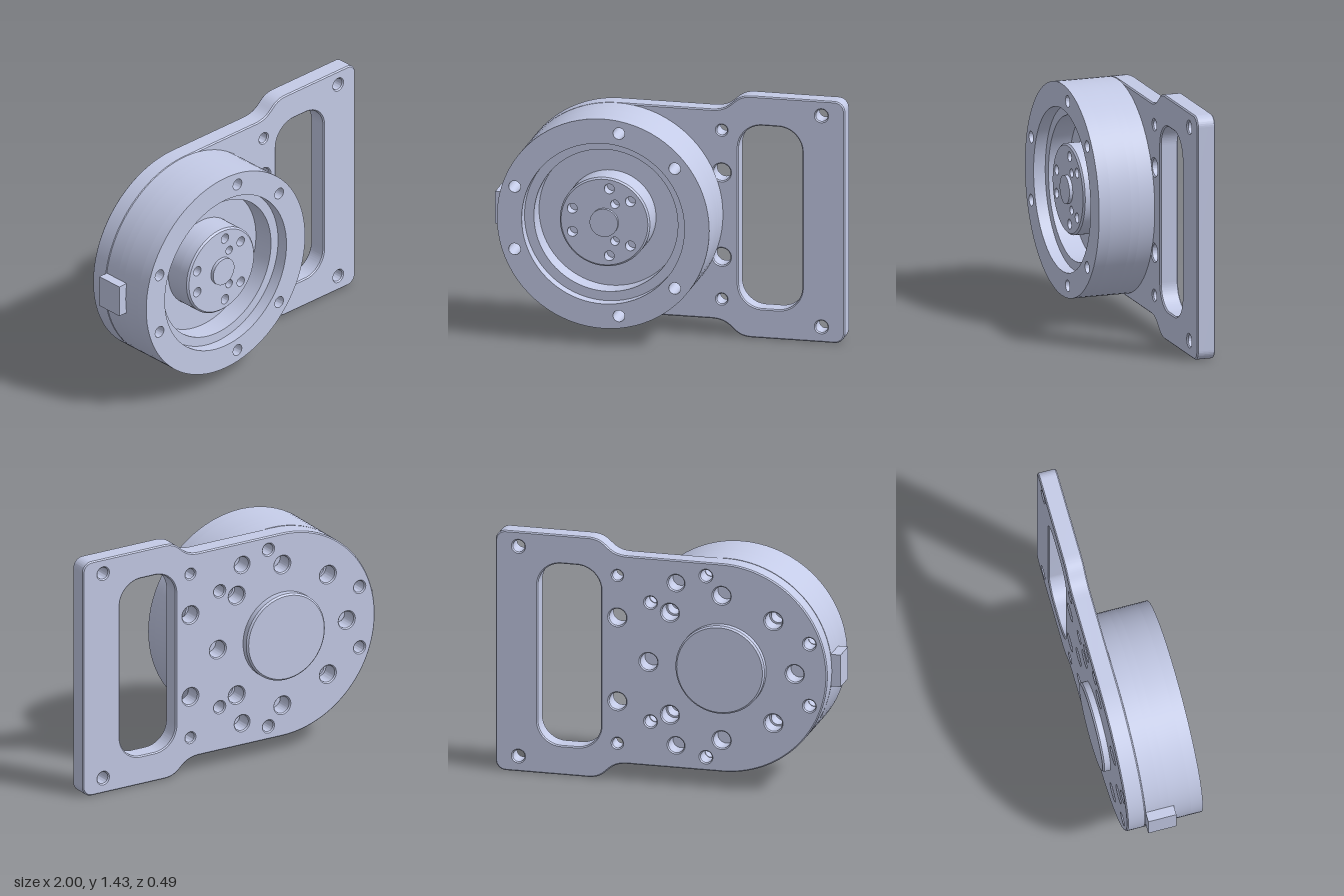
import * as THREE from 'three';
import { toCreasedNormals } from 'three/addons/utils/BufferGeometryUtils.js';

const CX = -0.33, CY = 0.717, R = 0.62; // drum axis and radius

const circle = (x, y, r, Type = THREE.Path) => new Type().absarc(x, y, r, 0, Math.PI * 2, false);

// Hole placed around the drum axis, angle in degrees
const polar = (deg, dist, r) => {
  const a = THREE.MathUtils.degToRad(deg);
  return circle(CX + dist * Math.cos(a), CY + dist * Math.sin(a), r);
};

const mirrored = (list) => list.flatMap((a) => [a, -a]);

function roundedRect(x0, y0, x1, y1, r) {
  const p = new THREE.Path();
  p.absarc(x1 - r, y0 + r, r, -Math.PI / 2, 0, false);
  p.absarc(x1 - r, y1 - r, r, 0, Math.PI / 2, false);
  p.absarc(x0 + r, y1 - r, r, Math.PI / 2, Math.PI, false);
  p.absarc(x0 + r, y0 + r, r, Math.PI, Math.PI * 1.5, false);
  p.closePath();
  return p;
}

// Extrude a shape with holes between two z levels, with an optional chamfer
function slab(shape, holes, z0, z1, chamfer = 0) {
  shape.holes.push(...holes);
  const geo = new THREE.ExtrudeGeometry(shape, {
    depth: z1 - z0 - 2 * chamfer,
    curveSegments: 40,
    bevelEnabled: chamfer > 0,
    bevelSize: chamfer,
    bevelThickness: chamfer,
    bevelOffset: -chamfer,
    bevelSegments: 1,
  });
  geo.translate(0, 0, z0 + chamfer);
  return toCreasedNormals(geo, 0.6);
}

// Plate outline: round end, straight flanks, S-curves out to the wide handle
function plateShape() {
  const top = CY + R, bottom = CY - R, H = 1.43, right = 1.0, c = 0.06;
  const s = new THREE.Shape();
  s.moveTo(CX, bottom);
  s.lineTo(0.22, bottom);
  s.bezierCurveTo(0.36, bottom, 0.33, 0, 0.46, 0);
  s.lineTo(right - c, 0);
  s.absarc(right - c, c, c, -Math.PI / 2, 0, false);
  s.absarc(right - c, H - c, c, 0, Math.PI / 2, false);
  s.lineTo(0.46, H);
  s.bezierCurveTo(0.33, H, 0.36, top, 0.22, top);
  s.lineTo(CX, top);
  s.absarc(CX, CY, R, Math.PI / 2, Math.PI * 1.5, false);
  return s;
}

export function createModel() {
  const model = new THREE.Group();
  const metal = new THREE.MeshStandardMaterial({ color: 0xcad1ee });
  metal.name = 'paleBlueMetal';
  const add = (name, geo) => {
    const mesh = new THREE.Mesh(geo, metal);
    mesh.name = name;
    model.add(mesh);
    return mesh;
  };

  // Holes that run through both the drum wall and the plate
  const through = () => mirrored([80.3, 40.3, 160.3]).map((a) => polar(a, 0.548, 0.034));
  const diagonals = (r) => [45, 135, 225, 315].map((a) => polar(a, 0.43, r));

  // Mounting plate with handle window
  const plateHoles = [
    roundedRect(0.38, 0.175, 0.752, 1.258, 0.14),
    ...through(),
    ...diagonals(0.05),
    ...[0, 90, 180, 270].map((a) => polar(a, 0.43, 0.05)),
    ...mirrored([61]).map((a) => polar(a, 0.553, 0.046)),
  ];
  for (const s of [1, -1]) {
    plateHoles.push(
      circle(0.865, CY + s * 0.625, 0.035),
      circle(0.283, CY + s * 0.5, 0.03),
      circle(0.283, CY + s * 0.25, 0.05),
    );
  }
  add('mountingPlate', slab(plateShape(), plateHoles, -0.2, -0.09, 0.007));

  // Drum: holed base, solid floor, wall and stepped rim
  const disc = (r) => circle(CX, CY, r, THREE.Shape);
  add('drumBase', slab(disc(R), [...through(), ...diagonals(0.042)], -0.09, 0.0));
  add('drumFloor', slab(disc(R), through(), 0.0, 0.05));
  add('drumWall', slab(disc(R), [circle(CX, CY, 0.42), ...through()], 0.05, 0.175));
  add('drumRim', slab(disc(R), [circle(CX, CY, 0.475), ...through()], 0.175, 0.245));

  // Output hub: solid core and drilled, chamfered face
  add('hubCore', slab(disc(0.263), [], 0.05, 0.14));
  const hubHoles = mirrored([82, 41, 160]).map((a) => polar(a, 0.2, 0.029));
  hubHoles.push(...mirrored([61]).map((a) => polar(a, 0.125, 0.025)));
  const face = disc(0.253);
  add('hubFace', slab(face, hubHoles, 0.14, 0.21));

  // Chamfer collar around the hub face
  const collar = new THREE.LatheGeometry(
    [[0.253, 0.14], [0.263, 0.14], [0.263, 0.2], [0.253, 0.21]].map(([r, y]) => new THREE.Vector2(r, y)), 80);
  collar.rotateX(Math.PI / 2);
  collar.translate(CX, CY, 0);
  add('hubCollar', toCreasedNormals(collar, 0.6));

  // Central shaft end
  add('shaftEnd', slab(disc(0.082), [], 0.2, 0.23));

  // Rear cap with softened edge
  add('rearCap', slab(disc(0.262), [], -0.245, -0.19, 0.01));

  // Side connector block
  const plug = add('connectorBlock', new THREE.BoxGeometry(0.12, 0.19, 0.165));
  plug.position.set(-0.94, CY + 0.003, -0.0075);

  return model;
}
